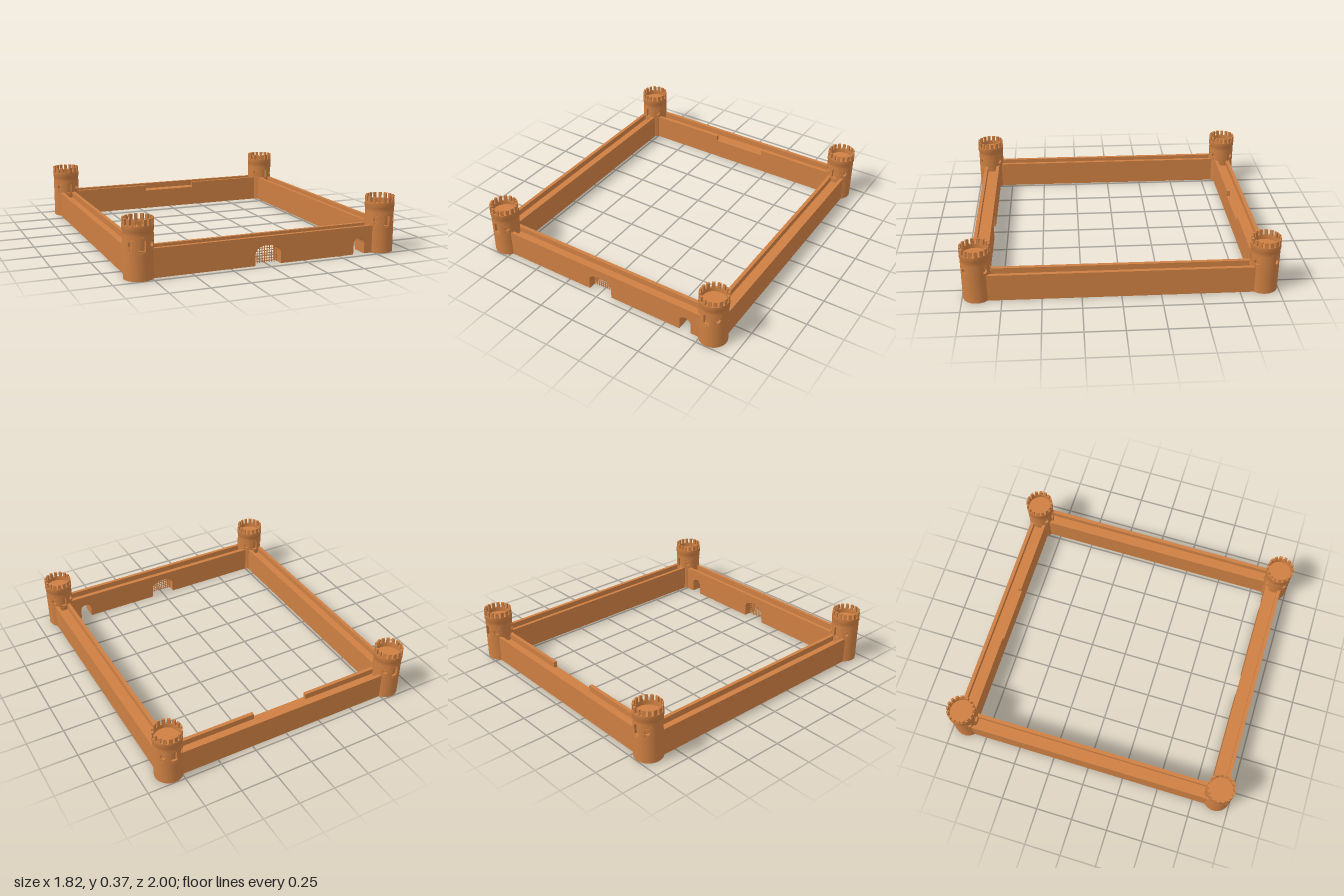
import * as THREE from 'three';
import { toCreasedNormals, mergeGeometries } from 'three/addons/utils/BufferGeometryUtils.js';

const stone = new THREE.MeshStandardMaterial({ color: 0xcd7f42 });
const TX = 0.817, TZ = 0.905;            // tower centres
const R = 0.092, RECESS = 0.016;         // tower radius, window depth
const WALL = 0.11, WALK = 0.14, TOP = 0.18, LIP = 0.024;

function add(parent, name, geometry, x = 0, y = 0, z = 0) {
  const mesh = new THREE.Mesh(geometry, stone);
  mesh.name = name;
  mesh.position.set(x, y, z);
  parent.add(mesh);
  return mesh;
}
const box = (parent, name, w, h, d, x, y, z) => add(parent, name, new THREE.BoxGeometry(w, h, d), x, y, z);
const lathe = (pts) => toCreasedNormals(
  new THREE.LatheGeometry(pts.map(([r, y]) => new THREE.Vector2(r, y)), 48), 0.6);

// Curved block: extrude a flat outline, then bend it around the tower axis
function bend(shape, depth, outer) {
  const g = new THREE.ExtrudeGeometry(shape, { depth, bevelEnabled: false, curveSegments: 10 });
  const p = g.attributes.position;
  for (let i = 0; i < p.count; i++) {
    const a = p.getX(i) / outer, r = outer - depth + p.getZ(i);
    p.setXYZ(i, Math.sin(a) * r, p.getY(i), Math.cos(a) * r);
  }
  return toCreasedNormals(g, 0.6);
}

// Rectangle with extra points along its long edges so it bends smoothly
function strip(half, y0, y1, steps) {
  const pts = [];
  for (let i = 0; i <= steps; i++) pts.push(new THREE.Vector2(-half + 2 * half * i / steps, y0));
  for (let i = steps; i >= 0; i--) pts.push(new THREE.Vector2(-half + 2 * half * i / steps, y1));
  return new THREE.Shape(pts);
}

const BAND0 = 0.165, BAND1 = 0.265, HALF = 0.3;
function windowPanel(kind) {
  const shape = strip(HALF * R, BAND0, BAND1, 8);
  const hole = new THREE.Path();
  if (kind === 'arch') {
    hole.moveTo(-0.019, 0.18);
    hole.lineTo(-0.019, 0.236);
    hole.absellipse(0, 0.236, 0.019, 0.019, Math.PI, 0, true);
    hole.lineTo(0.019, 0.18);
    hole.closePath();
  } else {
    hole.absarc(0, 0.216, 0.018, 0, Math.PI * 2, true);
  }
  shape.holes.push(hole);
  return bend(shape, RECESS, R);
}

function makeTower() {
  const tower = new THREE.Group();
  add(tower, 'towerBase', lathe([[0, 0], [R, 0], [R, BAND0], [0.07, BAND0]]));
  add(tower, 'towerCore', new THREE.CylinderGeometry(R - RECESS, R - RECESS, 0.13, 48), 0, 0.215, 0);

  // Window band: arches to front and back, round holes on the diagonals
  const q = Math.PI / 4;
  const windows = [[0, 'arch'], [1, 'round'], [3, 'round'], [4, 'arch'], [5, 'round'], [7, 'round']];
  windows.forEach(([k, kind], i) => {
    add(tower, kind + 'Window', windowPanel(kind)).rotation.y = k * q;
    const next = i + 1 < windows.length ? windows[i + 1][0] : 8;
    const start = k * q + HALF, span = (next - k) * q - 2 * HALF;
    add(tower, 'towerBand', new THREE.CylinderGeometry(R, R, BAND1 - BAND0, Math.ceil(span * 8), 1, true, start, span),
      0, (BAND0 + BAND1) / 2, 0);
  });

  // Projecting ring with a sunken platform
  add(tower, 'towerCrown', lathe([[0.07, BAND1], [R, BAND1], [R, 0.29], [0.095, 0.295], [0.095, 0.328],
    [0.081, 0.328], [0.081, 0.3], [0, 0.3]]));

  // Merlons
  const merlons = [], count = 16, outer = 0.0935;
  for (let i = 0; i < count; i++) {
    const g = bend(strip(Math.PI / count * 0.6 * outer, 0.326, 0.365, 3), 0.0125, outer);
    merlons.push(g.rotateY((i + 0.5) / count * Math.PI * 2));
  }
  add(tower, 'merlons', mergeGeometries(merlons));
  return tower;
}

// Wall along x: body, walkway and raised lips; +z is the outer side
function makeWall(length, openings = [], gap = 0) {
  const wall = new THREE.Group(), h = length / 2;
  const shape = new THREE.Shape();
  shape.moveTo(-h, 0);
  for (const { x, w, spring, rise } of openings) {
    shape.lineTo(x - w, 0);
    shape.lineTo(x - w, spring);
    shape.absellipse(x, spring, w, rise, Math.PI, 0, true);
    shape.lineTo(x + w, 0);
  }
  shape.lineTo(h, 0);
  shape.lineTo(h, WALK);
  shape.lineTo(-h, WALK);
  shape.closePath();
  const body = new THREE.ExtrudeGeometry(shape, { depth: WALL, bevelEnabled: false, curveSegments: 16 });
  add(wall, 'wallBody', toCreasedNormals(body, 0.5), 0, 0, -WALL / 2);

  const lipH = TOP - WALK, y = (TOP + WALK) / 2, z = (WALL - LIP) / 2;
  box(wall, 'outerParapet', length, lipH, LIP, 0, y, z);
  if (gap) {
    const part = (length - gap) / 2;
    for (const s of [-1, 1]) box(wall, 'innerParapet', part, lipH, LIP, s * (gap + part) / 2, y, -z);
  } else box(wall, 'innerParapet', length, lipH, LIP, 0, y, -z);
  return wall;
}

function makePortcullis({ w, spring, rise }) {
  const grid = new THREE.Group(), t = 0.004, pitch = 0.0165;
  for (let i = -5; i <= 5; i++) {
    const x = i * pitch;
    const top = spring + rise * Math.sqrt(1 - (x / w) ** 2);
    box(grid, 'verticalBar', t, top, t, x, top / 2, 0);
  }
  for (let y = 0.01; y < spring + rise - 0.004; y += pitch) {
    const half = y < spring ? w : w * Math.sqrt(1 - ((y - spring) / rise) ** 2);
    box(grid, 'horizontalBar', half * 2, t, t, 0, y, 0);
  }
  return grid;
}

export function createModel() {
  const castle = new THREE.Group();
  castle.name = 'castleWalls';
  const place = (object, name, x, z, turn = 0) => {
    object.name = name;
    object.position.set(x, 0, z);
    object.rotation.y = turn;
    castle.add(object);
  };

  for (const [sx, side] of [[1, 'Left'], [-1, 'Right']]) {
    for (const [sz, end] of [[1, 'front'], [-1, 'back']]) place(makeTower(), end + side + 'Tower', sx * TX, sz * TZ);
    place(makeWall(TZ * 2), side.toLowerCase() + 'Wall', sx * 0.825, 0, sx * Math.PI / 2);
  }

  const gate = { x: 0, w: 0.086, spring: 0.075, rise: 0.051 };
  const door = { x: 0.643, w: 0.04, spring: 0.067, rise: 0.04 };
  place(makeWall(TX * 2, [gate, door]), 'frontWall', 0, 0.898);
  place(makePortcullis(gate), 'portcullis', 0, 0.898);
  place(makeWall(TX * 2, [], 0.39), 'backWall', 0, -0.903, Math.PI);
  return castle;
}
